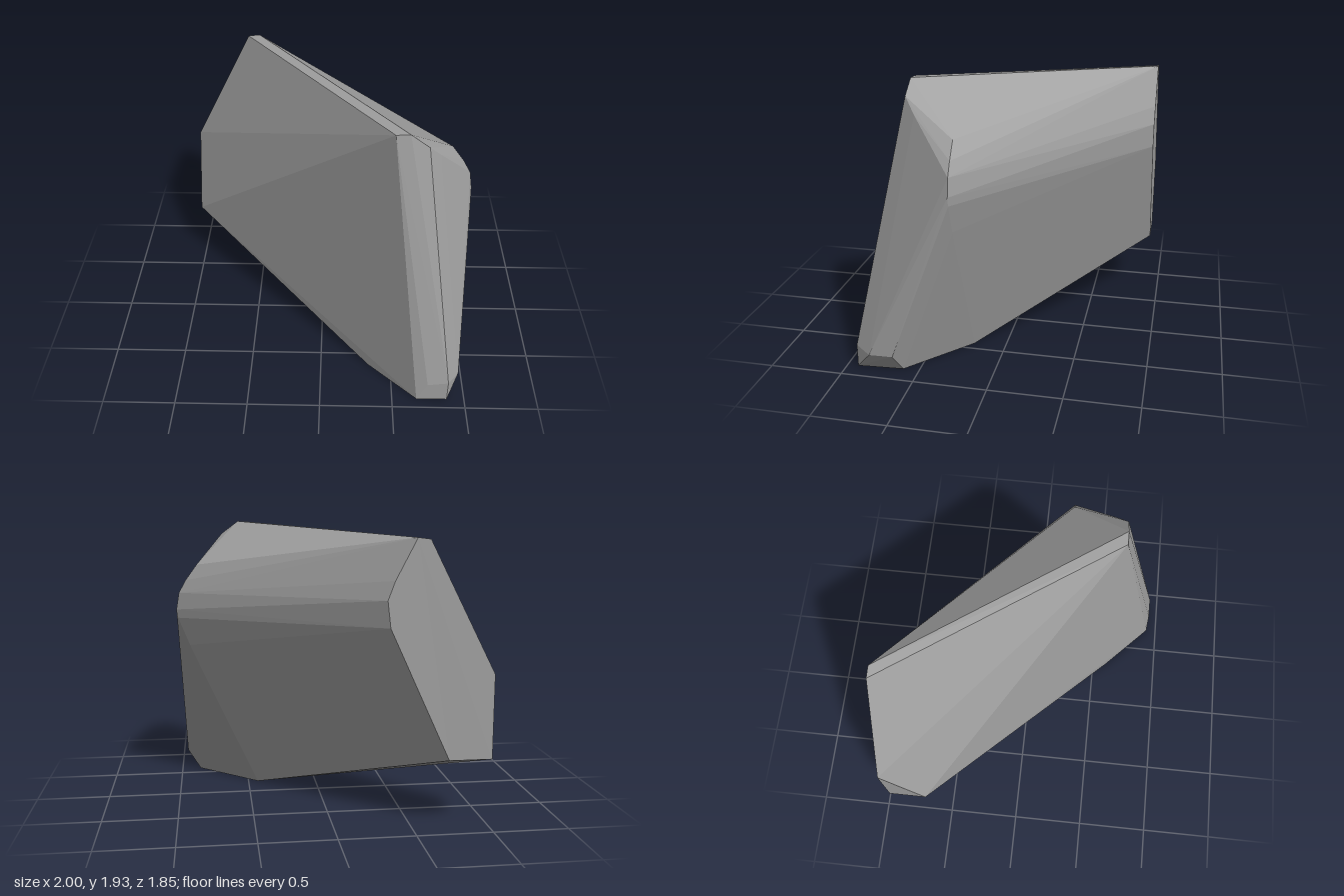
import * as THREE from 'three';
import { ConvexGeometry } from 'three/addons/geometries/ConvexGeometry.js';

// points of one outline lying in a plane of constant z
const outline = (z, points) => points.map(([x, y]) => new THREE.Vector3(x, y, z));

export function createModel() {
  const stone = new THREE.MeshStandardMaterial({ color: 0xa0a0a0 });
  stone.name = 'greyStone';

  const corners = [
    // flat back end
    ...outline(-0.925, [[-1, 0.46], [-0.72, 0.46], [-0.33, 1.31], [-0.31, 1.48],
      [-0.355, 1.6], [-0.49, 1.86], [-0.57, 1.85], [-1, 1.01]]),
    // lower corner of the broad front face
    ...outline(-0.66, [[-1, 0.46]]),
    // rounded shoulder where the broad rear face meets the nose
    ...outline(0.225, [[0.43, 0], [0.79, 0.78], [0.91, 1.05], [0.99, 1.25], [1, 1.31],
      [0.98, 1.43], [0.93, 1.52], [0.85, 1.63]]),
    // peak
    ...outline(0.58, [[0.45, 1.925], [0.54, 1.93], [0.66, 1.84]]),
    ...outline(0.5, [[0.74, 1.74]]),
    // foot
    ...outline(0.61, [[0.34, 0], [0.86, 0]]),
    ...outline(0.65, [[0.955, 0.14]]),
    ...outline(0.81, [[0.96, 0.14]]),
    ...outline(0.925, [[0.67, 0], [0.74, 0.14], [0.88, 0.16], [0.88, 0]]),
  ];

  const rock = new THREE.Mesh(new ConvexGeometry(corners), stone);
  rock.name = 'rockSlab';

  const group = new THREE.Group();
  group.name = 'rock';
  group.add(rock);
  return group;
}
